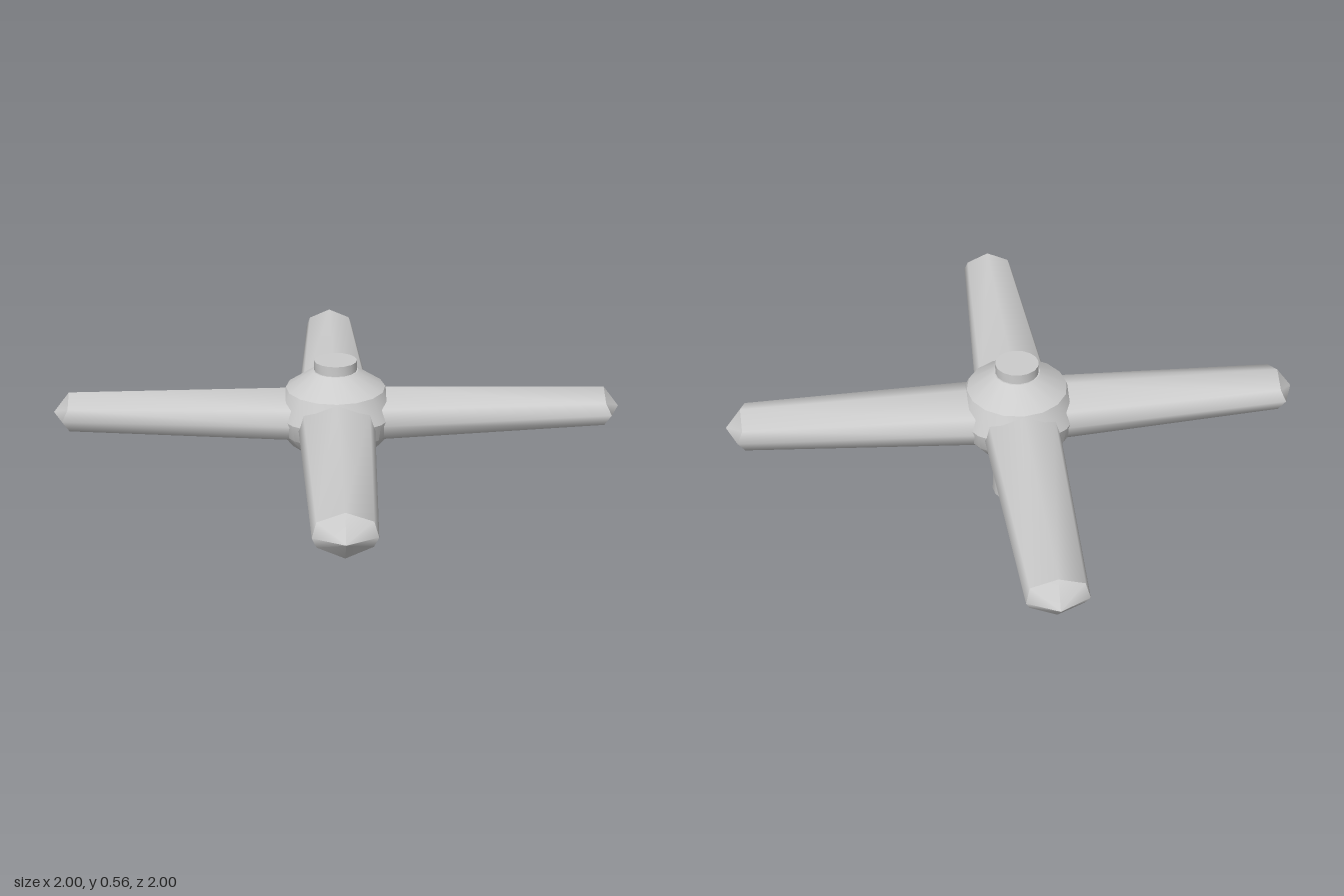
import * as THREE from 'three';
import { toCreasedNormals, mergeVertices } from 'three/addons/utils/BufferGeometryUtils.js';

const OFF = -0.008; // the hub axis sits slightly off centre
const material = new THREE.MeshStandardMaterial({ color: 0xcccccc });

// Eight-sided, slightly boxy cross-section: [y, z] unit factors
const SECTION = [[1, 0], [0.55, 0.86], [0, 1], [-0.55, 0.86], [-1, 0], [-0.55, -0.86], [0, -1], [0.55, -0.86]];
const ring = (xs, y, h, w) => SECTION.map(([a, b], k) => [xs[k % 4 === 0 ? 0 : k % 4 === 2 ? 2 : 1], y + a * h, b * w]);

function loft(rings) {
  const n = SECTION.length;
  const index = [];
  for (let i = 0; i < rings.length - 1; i++) {
    for (let k = 0; k < n; k++) {
      const a = i * n + k, b = i * n + (k + 1) % n;
      index.push(a, b, b + n, a, b + n, a + n);
    }
  }
  const g = new THREE.BufferGeometry();
  g.setAttribute('position', new THREE.Float32BufferAttribute(rings.flat(2), 3));
  g.setIndex(index);
  g.computeVertexNormals();
  return g;
}

function part(name, geometry) {
  const mesh = new THREE.Mesh(geometry, material);
  mesh.name = name;
  return mesh;
}

// Turned part from a profile of [radius, y], listed upwards
function turned(name, profile, sides, crease = 0.5) {
  const g = new THREE.LatheGeometry(profile.map(([r, y]) => new THREE.Vector2(r, y)), sides);
  g.deleteAttribute('normal');
  g.deleteAttribute('uv');
  const mesh = part(name, toCreasedNormals(mergeVertices(g), crease));
  mesh.position.set(OFF, 0, OFF);
  return mesh;
}

// Tapered arm along +x with a blunt pointed end
function arm(name) {
  const group = new THREE.Group();
  group.name = name;
  const root = ring([0.1, 0.1, 0.1], 0.355, 0.1, 0.134);
  const end = ring([0.942, 0.935, 0.955], 0.372, 0.073, 0.095);
  const tip = SECTION.map(() => [1, 0.372, 0]);
  group.add(part('armShaft', loft([root, end])));
  group.add(part('armTip', loft([end, tip])));
  return group;
}

export function createModel() {
  const model = new THREE.Group();
  model.name = 'crossHandle';

  // Stem, hub and top button
  model.add(turned('stem', [[0, 0], [0.09, 0], [0.08, 0.26], [0, 0.26]], 16));
  model.add(turned('hub', [[0, 0.235], [0.085, 0.235], [0.165, 0.258], [0.205, 0.31], [0.215, 0.37],
    [0.175, 0.457], [0.08, 0.52], [0, 0.52]], 16));
  model.add(turned('topButton', [[0, 0.51], [0.075, 0.51], [0.075, 0.555], [0, 0.555]], 16));

  // Four arms in a cross
  ['leftArm', 'backArm', 'rightArm', 'frontArm'].forEach((name, i) => {
    const a = arm(name);
    a.rotation.y = i * Math.PI / 2;
    if (i % 2) a.position.x = OFF;
    else a.position.z = OFF;
    model.add(a);
  });
  return model;
}
